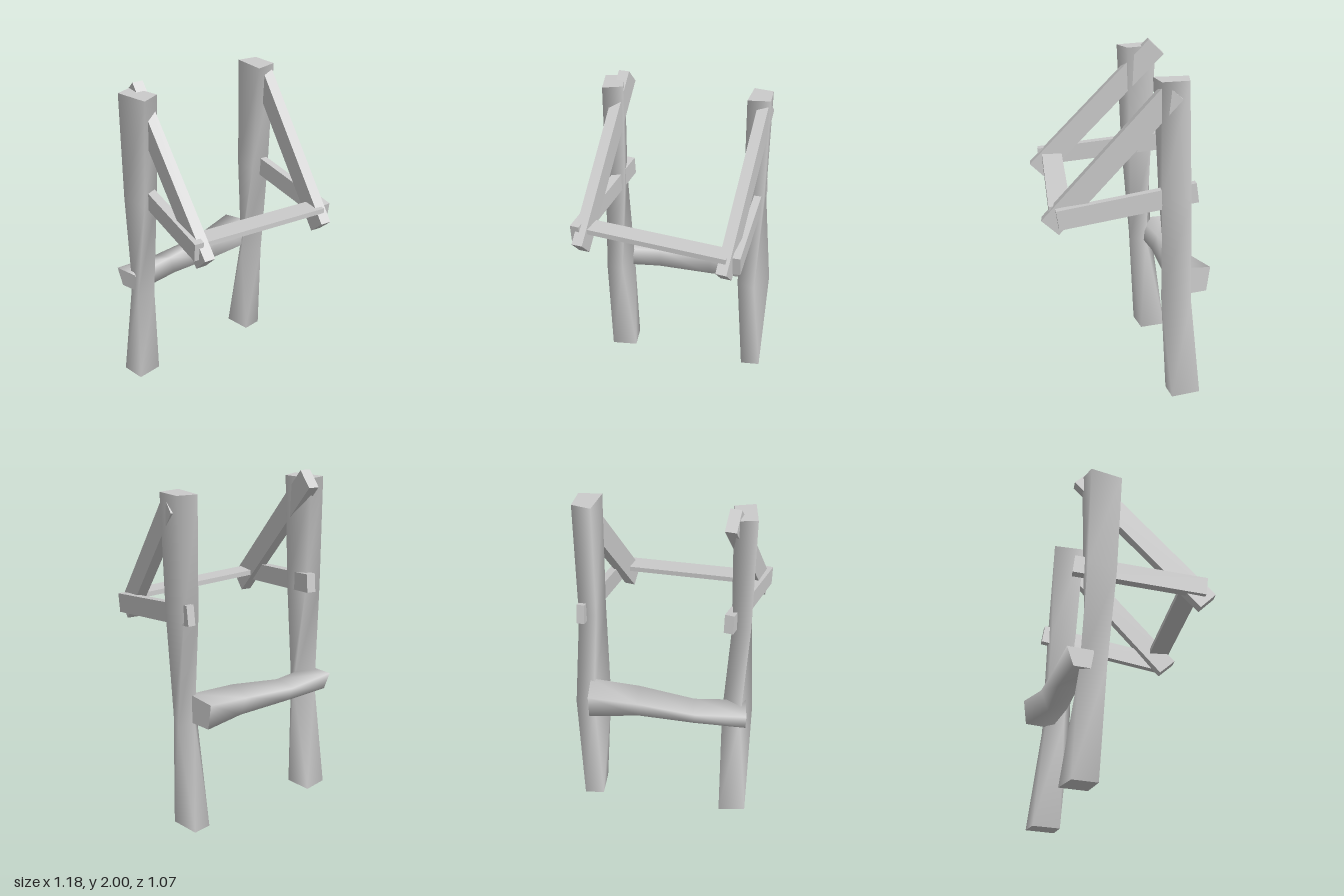
import * as THREE from 'three';

const material = new THREE.MeshStandardMaterial({ color: 0xcccccc });

// Four-sided timber from corner rings (counter-clockwise about the axis): smooth sides, flat ends
function timber(name, rings) {
  const pos = rings.flat(2), idx = [], n = rings.length;
  for (let r = 0; r < n - 1; r++) {
    for (let i = 0; i < 4; i++) {
      const a = r * 4 + i, b = r * 4 + (i + 1) % 4;
      idx.push(a, b, b + 4, a, b + 4, a + 4);
    }
  }
  // End caps use their own vertices so their rims stay sharp
  const s = n * 4;
  pos.push(...rings[0].flat(), ...rings[n - 1].flat());
  idx.push(s, s + 2, s + 1, s, s + 3, s + 2, s + 4, s + 5, s + 6, s + 4, s + 6, s + 7);
  const geo = new THREE.BufferGeometry();
  geo.setAttribute('position', new THREE.Float32BufferAttribute(pos, 3));
  geo.setIndex(idx);
  geo.computeVertexNormals();
  const mesh = new THREE.Mesh(geo, material);
  mesh.name = name;
  return mesh;
}

// Upright post: sections of [y, front, right, back, left], corners as [x, z]
const post = (name, sections) =>
  timber(name, sections.map(([y, ...c]) => c.map(([x, z]) => [x, y, z])));

// Crosswise log: sections of [x, lower front, lower back, upper back, upper front], corners as [y, z]
const log = (name, sections) =>
  timber(name, sections.map(([x, ...c]) => c.map(([y, z]) => [x, y, z])));

// Straight plank between the centres of its two ends
function plank(name, from, to, width, height) {
  const a = new THREE.Vector3(...from), b = new THREE.Vector3(...to);
  const mesh = new THREE.Mesh(new THREE.BoxGeometry(width, height, a.distanceTo(b)), material);
  mesh.position.copy(a).lerp(b, 0.5);
  mesh.lookAt(b);
  mesh.name = name;
  return mesh;
}

export function createModel() {
  const model = new THREE.Group();
  model.name = 'timberFrame';

  // Hewn posts
  model.add(post('leftPost', [
    [0.0, [0.55, -0.18], [0.555, -0.36], [0.44, -0.36], [0.43, -0.19]],
    [0.65, [0.49, -0.12], [0.59, -0.265], [0.48, -0.285], [0.385, -0.2]],
    [1.27, [0.52, -0.1], [0.54, -0.27], [0.44, -0.28], [0.4, -0.13]],
    [1.945, [0.53, -0.08], [0.55, -0.235], [0.44, -0.28], [0.397, -0.085]],
  ]));
  model.add(post('rightPost', [
    [0.015, [-0.3, -0.335], [-0.29, -0.5], [-0.45, -0.495], [-0.46, -0.345]],
    [0.67, [-0.37, -0.275], [-0.295, -0.36], [-0.4, -0.44], [-0.475, -0.31]],
    [1.3, [-0.335, -0.255], [-0.335, -0.4], [-0.44, -0.42], [-0.45, -0.24]],
    [1.955, [-0.325, -0.23], [-0.335, -0.42], [-0.45, -0.41], [-0.445, -0.205]],
  ]));

  // Bent log between the posts
  model.add(log('crossLog', [
    [-0.432, [0.66, -0.36], [0.655, -0.49], [0.765, -0.53], [0.77, -0.37]],
    [-0.13, [0.67, -0.33], [0.655, -0.455], [0.74, -0.49], [0.765, -0.365]],
    [0.2, [0.67, -0.26], [0.64, -0.38], [0.76, -0.43], [0.81, -0.31]],
    [0.495, [0.65, -0.24], [0.65, -0.41], [0.8, -0.43], [0.82, -0.26]],
  ]));

  // Diagonal braces
  model.add(plank('leftBrace', [0.295, 1.12, 0.485], [0.51, 1.89, -0.16], 0.065, 0.13));
  model.add(plank('rightBrace', [-0.535, 1.17, 0.305], [-0.32, 1.955, -0.415], 0.065, 0.13));

  // Forward arms
  model.add(plank('leftArm', [0.365, 1.18, 0.465], [0.525, 1.3, -0.31], 0.045, 0.115));
  model.add(plank('rightArm', [-0.565, 1.25, 0.285], [-0.315, 1.345, -0.455], 0.055, 0.11));

  // Flat bar joining the arms
  model.add(plank('frontBar', [-0.51, 1.268, 0.215], [0.32, 1.225, 0.435], 0.125, 0.03));

  return model;
}
